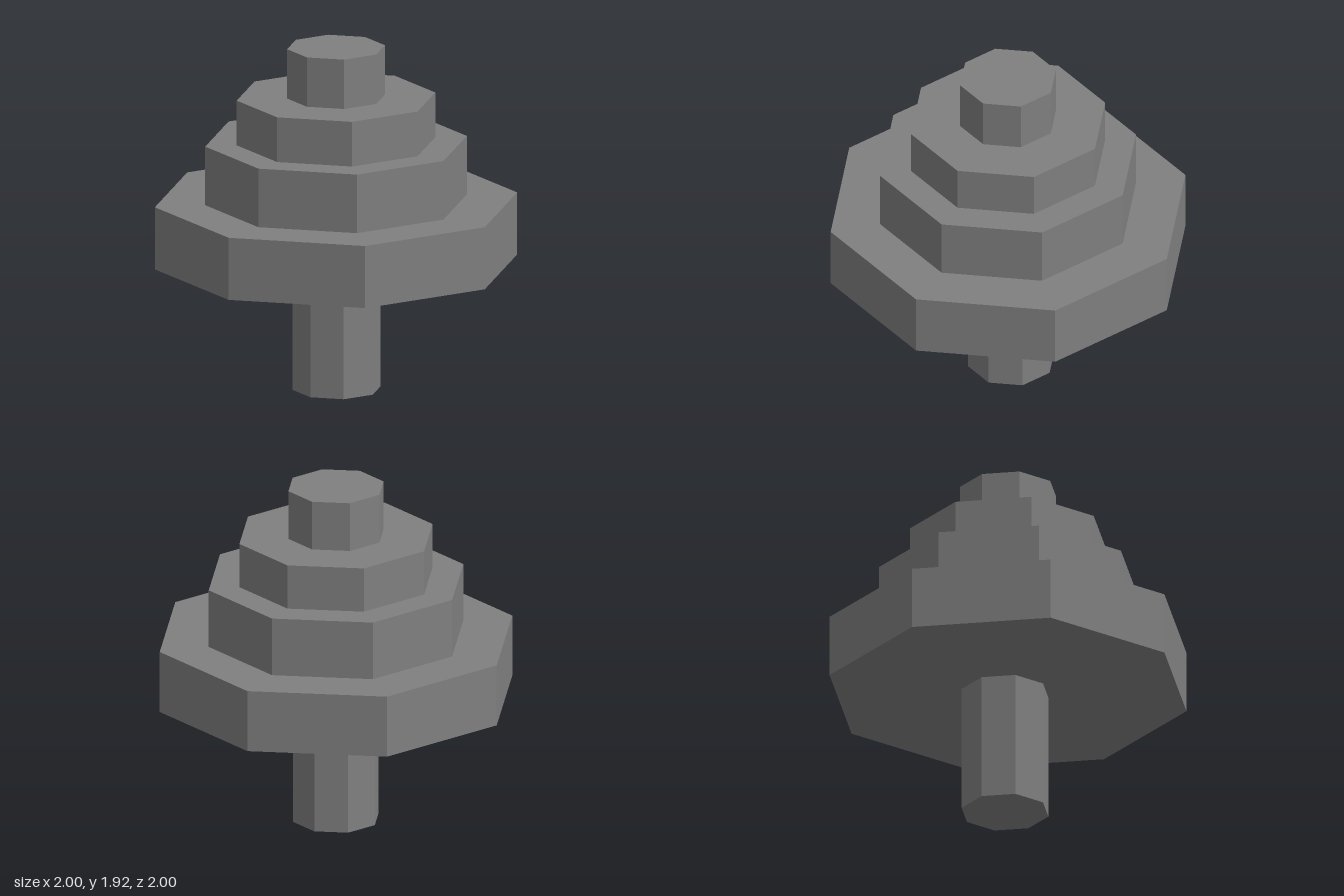
import * as THREE from 'three';

export function createModel() {
  const group = new THREE.Group();
  const grey = new THREE.MeshStandardMaterial({ color: 0x808080, flatShading: true });
  grey.name = 'mid grey';

  // Upright octagonal prism with a corner facing the front
  function prism(name, radius, bottom, top, x = 0, z = 0) {
    const height = top - bottom;
    const mesh = new THREE.Mesh(new THREE.CylinderGeometry(radius, radius, height, 8), grey);
    mesh.name = name;
    mesh.position.set(x, bottom + height / 2, z);
    group.add(mesh);
  }

  // Stem, slightly off centre
  prism('trunk', 0.243, 0, 0.715, 0.015, -0.007);

  // Stacked tiers, widest at the bottom
  prism('bottomTier', 1, 0.715, 1.065);
  prism('lowerTier', 0.722, 1.065, 1.395);
  prism('upperTier', 0.548, 1.395, 1.647);
  prism('topTier', 0.27, 1.647, 1.925);

  return group;
}
